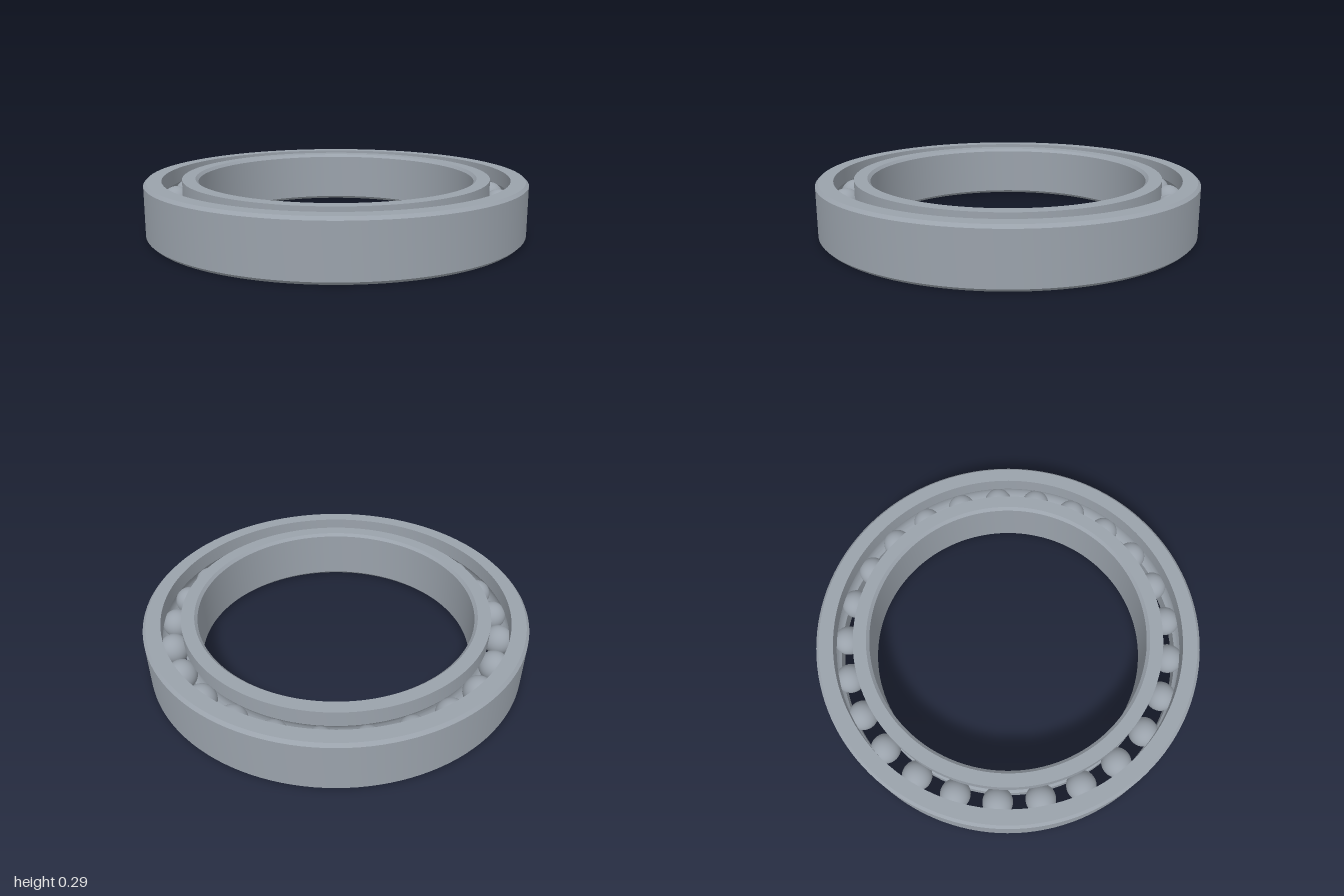
import * as THREE from 'three';
import { toCreasedNormals } from 'three/addons/utils/BufferGeometryUtils.js';

const HEIGHT = 0.286, MID = HEIGHT / 2, CHAMFER = 0.015;
const PITCH = 0.86, BALL_R = 0.077, GROOVE_R = 0.079, BALLS = 25;
const OUTER_R = 1, OUTER_LAND = 0.91, INNER_LAND = 0.808, BORE_R = 0.725;

// Ball groove as an arc around the ball centre
function groove(from, to, steps = 16) {
  return Array.from({ length: steps + 1 }, (_, i) => {
    const a = from + (to - from) * i / steps;
    return [PITCH + GROOVE_R * Math.cos(a), MID + GROOVE_R * Math.sin(a)];
  });
}

// Closed counter-clockwise profile turned around the y axis
function ring(name, profile, material) {
  const points = [...profile, profile[0]].map(([r, y]) => new THREE.Vector2(r, y));
  const mesh = new THREE.Mesh(toCreasedNormals(new THREE.LatheGeometry(points, 128), 0.4), material);
  mesh.name = name;
  return mesh;
}

export function createModel() {
  const group = new THREE.Group();
  group.name = 'ballBearing';
  const steel = new THREE.MeshStandardMaterial({ color: 0x9aa2ab });
  steel.name = 'steel';

  // Outer race: chamfered outside, grooved inside
  const ao = Math.acos((OUTER_LAND - PITCH) / GROOVE_R);
  group.add(ring('outerRace', [
    [OUTER_LAND, 0], [OUTER_R - CHAMFER, 0], [OUTER_R, CHAMFER],
    [OUTER_R, HEIGHT - CHAMFER], [OUTER_R - CHAMFER, HEIGHT], [OUTER_LAND, HEIGHT],
    ...groove(ao, -ao),
  ], steel));

  // Inner race: chamfered bore, grooved outside
  const ai = Math.acos((PITCH - INNER_LAND) / GROOVE_R);
  group.add(ring('innerRace', [
    [BORE_R + CHAMFER, 0], [INNER_LAND, 0],
    ...groove(Math.PI + ai, Math.PI - ai),
    [INNER_LAND, HEIGHT], [BORE_R + CHAMFER, HEIGHT],
    [BORE_R, HEIGHT - CHAMFER], [BORE_R, CHAMFER],
  ], steel));

  // Balls spaced evenly around the pitch circle
  const balls = new THREE.Group();
  balls.name = 'balls';
  const ballGeometry = new THREE.SphereGeometry(BALL_R, 32, 20);
  for (let i = 0; i < BALLS; i++) {
    const a = 0.019 + i / BALLS * Math.PI * 2;
    const ball = new THREE.Mesh(ballGeometry, steel);
    ball.name = 'ball';
    ball.position.set(PITCH * Math.sin(a), MID, -PITCH * Math.cos(a));
    balls.add(ball);
  }
  group.add(balls);
  return group;
}
